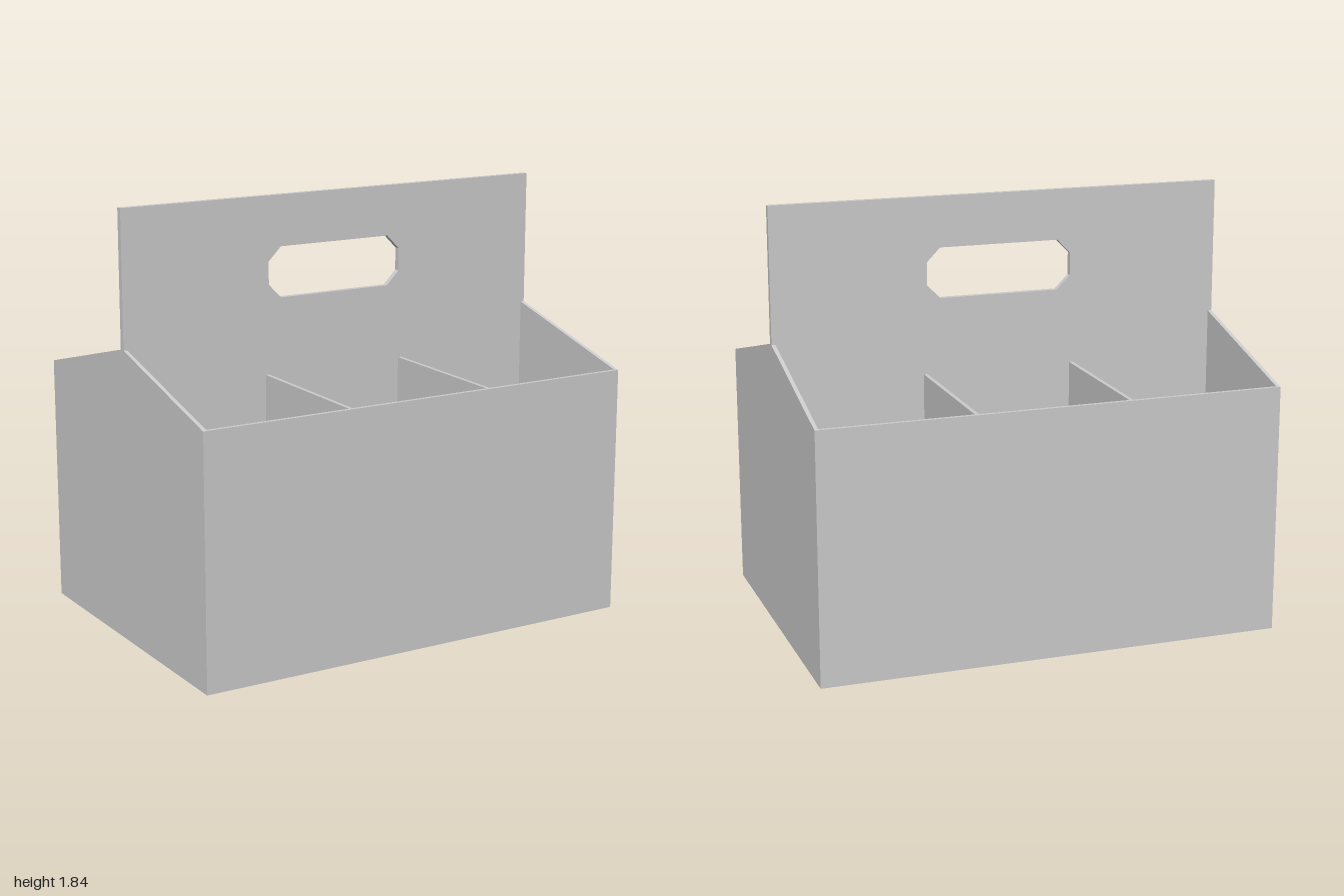
import * as THREE from 'three';

const W = 1, D = 0.706, T = 0.017;           // half width, half depth, board thickness
const WALL = 1.073, PEAK = 1.254, TOP = 1.837;
const P = 0.013;                             // half thickness of the handle panel

export function createModel() {
  const carrier = new THREE.Group();
  carrier.name = 'bottleCarrier';
  const material = new THREE.MeshStandardMaterial({ color: 0xcccccc, flatShading: true });

  const add = (name, geometry, x = 0, y = 0, z = 0) => {
    const mesh = new THREE.Mesh(geometry, material);
    mesh.name = name;
    mesh.position.set(x, y, z);
    carrier.add(mesh);
    return mesh;
  };
  const outline = (points) => points.map(([x, y]) => new THREE.Vector2(x, y));
  const board = (shape, depth) =>
    new THREE.ExtrudeGeometry(shape, { depth, bevelEnabled: false }).translate(0, 0, -depth / 2);

  // Floor between the walls
  add('floor', new THREE.BoxGeometry(2 * (W - T), T, 2 * (D - T)), 0, T / 2, 0);

  // Front and back walls, between the gabled ends
  for (const s of [1, -1]) {
    add(s > 0 ? 'frontWall' : 'backWall',
      new THREE.BoxGeometry(2 * (W - T), WALL, T), 0, WALL / 2, s * (D - T / 2));
  }

  // Gabled end walls rising to the handle panel
  const gable = new THREE.Shape(outline([
    [-D, 0], [D, 0], [D, WALL], [P, PEAK], [-P, PEAK], [-D, WALL],
  ]));
  for (const s of [1, -1]) {
    add(s > 0 ? 'leftEnd' : 'rightEnd', board(gable, T).rotateY(Math.PI / 2), s * (W - T / 2));
  }

  // Central panel: fits between the ends below, full width above, with a hand hole
  const inner = W - T;
  const panel = new THREE.Shape(outline([
    [-inner, T], [inner, T], [inner, PEAK], [W, PEAK],
    [W, TOP], [-W, TOP], [-W, PEAK], [-inner, PEAK],
  ]));
  panel.holes.push(new THREE.Path(outline([
    [-0.264, 1.4], [-0.323, 1.46], [-0.323, 1.558], [-0.264, 1.618],
    [0.264, 1.618], [0.323, 1.558], [0.323, 1.46], [0.264, 1.4],
  ])));
  add('handlePanel', board(panel, 2 * P));

  // Level dividers making three compartments on each side
  const length = D - T - P;
  for (const x of [-0.332, 0.332]) {
    for (const s of [1, -1]) {
      add('divider', new THREE.BoxGeometry(T, WALL - T, length),
        x, (WALL + T) / 2, s * (P + length / 2));
    }
  }
  return carrier;
}
